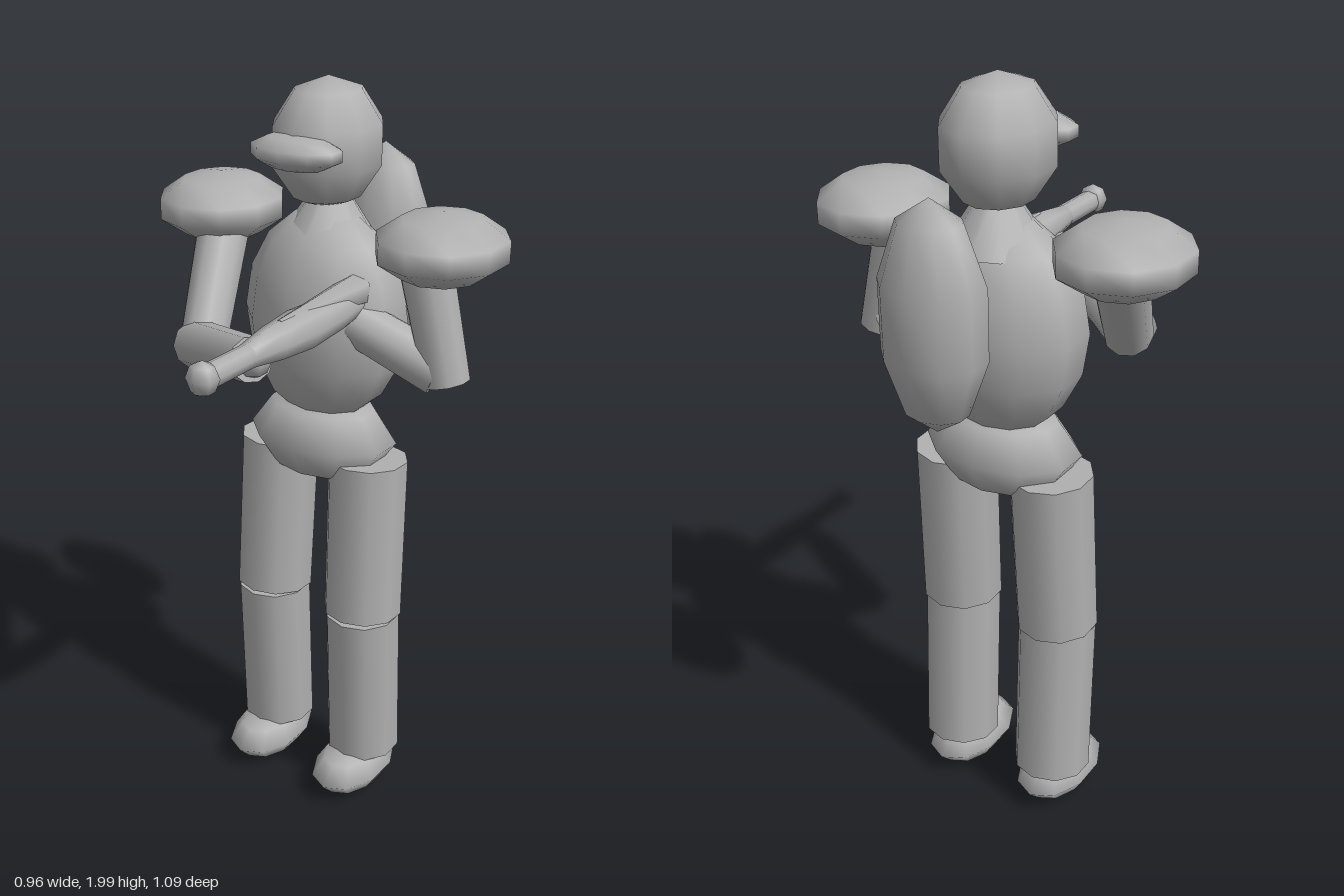
import * as THREE from 'three';

export function createModel() {
  const model = new THREE.Group();
  model.name = 'armouredFigure';
  const grey = new THREE.MeshStandardMaterial({ color: 0xb0b0b0 });
  grey.name = 'plain grey';

  const add = (name, geometry) => {
    const mesh = new THREE.Mesh(geometry, grey);
    mesh.name = name;
    model.add(mesh);
    return mesh;
  };

  // Faceted ellipsoid: ten sides, with corners pointing along z
  const blob = (name, center, radii, rings = 5, sides = 10) => {
    const geometry = new THREE.SphereGeometry(1, sides, rings);
    geometry.rotateY(Math.PI / 2).scale(...radii);
    return add(name, geometry).position.set(...center);
  };

  // Tapered limb running between two points
  const limb = (name, from, to, r0, r1 = r0, sides = 10) => {
    const a = new THREE.Vector3(...from), b = new THREE.Vector3(...to);
    const dir = b.clone().sub(a);
    const mesh = add(name, new THREE.CylinderGeometry(r1, r0, dir.length(), sides));
    mesh.position.copy(a).add(b).multiplyScalar(0.5);
    mesh.quaternion.setFromUnitVectors(new THREE.Vector3(0, 1, 0), dir.normalize());
    return mesh;
  };

  // Head, trunk and pack
  blob('head', [0, 1.84, -0.17], [0.14, 0.16, 0.159]);
  blob('visor', [0, 1.842, -0.035], [0.128, 0.044, 0.079]);
  limb('neck', [0, 1.6, -0.18], [0, 1.74, -0.18], 0.125, 0.035);
  blob('torso', [0, 1.4, -0.17], [0.225, 0.285, 0.172], 8);
  blob('pelvis', [0, 1.07, -0.165], [0.21, 0.12, 0.148], 4);
  blob('backpack', [0, 1.51, -0.443], [0.138, 0.28, 0.111]);

  // Shoulder pads, legs and feet
  for (const [side, s] of [['left', 1], ['right', -1]]) {
    blob(side + 'ShoulderPad', [s * 0.328, 1.635, -0.172], [0.17, 0.087, 0.179]);
    limb(side + 'Thigh', [s * 0.148, 0.58, -0.148], [s * 0.14, 1.03, -0.168], 0.107);
    limb(side + 'Shin', [s * 0.148, 0.125, -0.17], [s * 0.148, 0.575, -0.148], 0.103);
    blob(side + 'Foot', [s * 0.146, 0.073, -0.125], [0.1, 0.066, 0.157], 4);
  }

  // Arms: the right reaches across the chest, the left folds in to the stock
  limb('rightUpperArm', [-0.3, 1.62, -0.15], [-0.225, 1.335, 0.055], 0.07, 0.062);
  limb('rightForearm', [-0.24, 1.335, 0.06], [0.07, 1.425, 0.245], 0.064, 0.055);
  blob('rightHand', [0.085, 1.432, 0.255], [0.042, 0.045, 0.045], 4, 6);
  limb('leftUpperArm', [0.29, 1.62, -0.15], [0.37, 1.305, -0.15], 0.068, 0.06);
  limb('leftForearm', [0.35, 1.33, -0.15], [0.13, 1.43, -0.1], 0.065, 0.06);

  // Blaster: spindle body with a pointed ridge, barrel and muzzle
  const profile = [[0, -0.12], [0.03, -0.12], [0.046, 0], [0.054, 0.14], [0.045, 0.25], [0.03, 0.35], [0, 0.35]]
    .map(([r, z]) => new THREE.Vector2(r, z));
  const body = new THREE.LatheGeometry(profile, 8).rotateX(Math.PI / 2);
  add('blasterBody', body).position.set(0.135, 1.482, 0);
  limb('blasterRidge', [0.135, 1.51, -0.1], [0.135, 1.525, 0.225], 0.045, 0.006, 6);
  limb('blasterBarrel', [0.135, 1.482, 0.34], [0.135, 1.482, 0.49], 0.03, 0.03, 8);
  blob('blasterMuzzle', [0.135, 1.483, 0.508], [0.04, 0.042, 0.036], 4, 6);

  return model;
}
